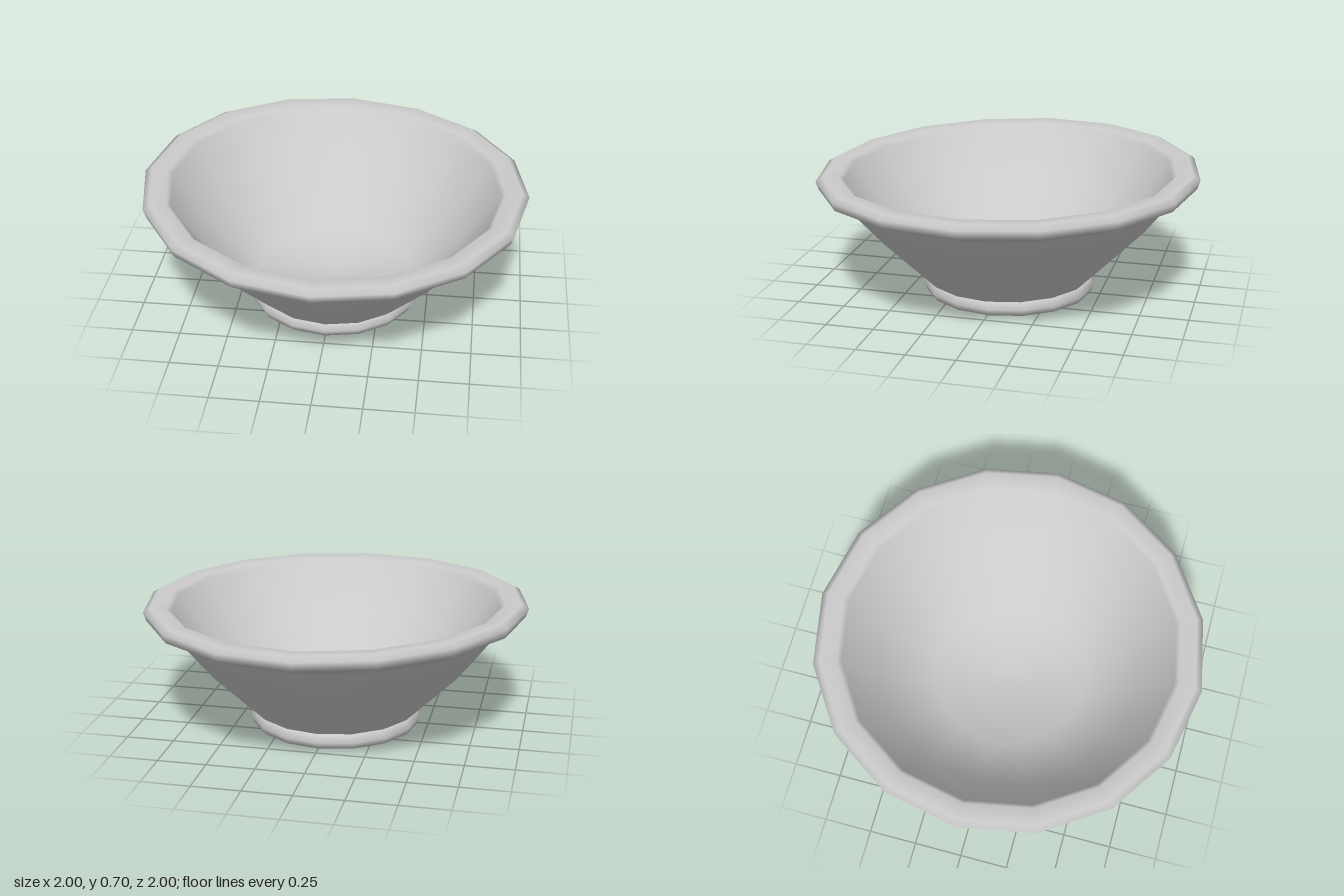
import * as THREE from 'three';

const SIDES = 16;
const material = new THREE.MeshStandardMaterial({ color: 0xcccccc });

// Smooth ring of 16 sides turned from [radius, height] points
function turned(name, profile) {
  const points = profile.map(([r, y]) => new THREE.Vector2(r, y));
  const mesh = new THREE.Mesh(new THREE.LatheGeometry(points, SIDES), material);
  mesh.name = name;
  return mesh;
}

// Hand-made unevenness: the rim leans up toward the back right corner and dips at the front
function lean(mesh) {
  const p = mesh.geometry.attributes.position;
  for (let i = 0; i < p.count; i++) {
    const x = p.getX(i), y = p.getY(i), z = p.getZ(i);
    const toCorner = -(x + z) * Math.SQRT1_2;
    const rise = 0.02 * toCorner + 0.013 * Math.max(toCorner, 0) ** 3 + 0.006 * (x * x - z * z);
    p.setY(i, y + rise * THREE.MathUtils.smoothstep(y, 0.35, 0.65));
  }
  return mesh;
}

export function createModel() {
  const bowl = new THREE.Group();
  bowl.name = 'bowl';

  // Low rounded foot with its flat underside, slightly off centre
  const foot = turned('foot', [[0, 0.003], [0.442, 0.005], [0.457, 0.04], [0.44, 0.08], [0.42, 0.085]]);
  foot.position.set(-0.003, 0, -0.006);
  bowl.add(foot);

  // Flared outer wall
  bowl.add(lean(turned('outerWall', [[0.435, 0.075], [0.725, 0.365], [0.885, 0.56]])));

  // Thick rolled rim running into the hollow inside
  bowl.add(lean(turned('rimAndInside', [
    [0.885, 0.56], [0.985, 0.605], [1, 0.65], [0.965, 0.671], [0.88, 0.666], [0.857, 0.645],
    [0.69, 0.4], [0.4, 0.135], [0, 0.115],
  ])));

  return bowl;
}
